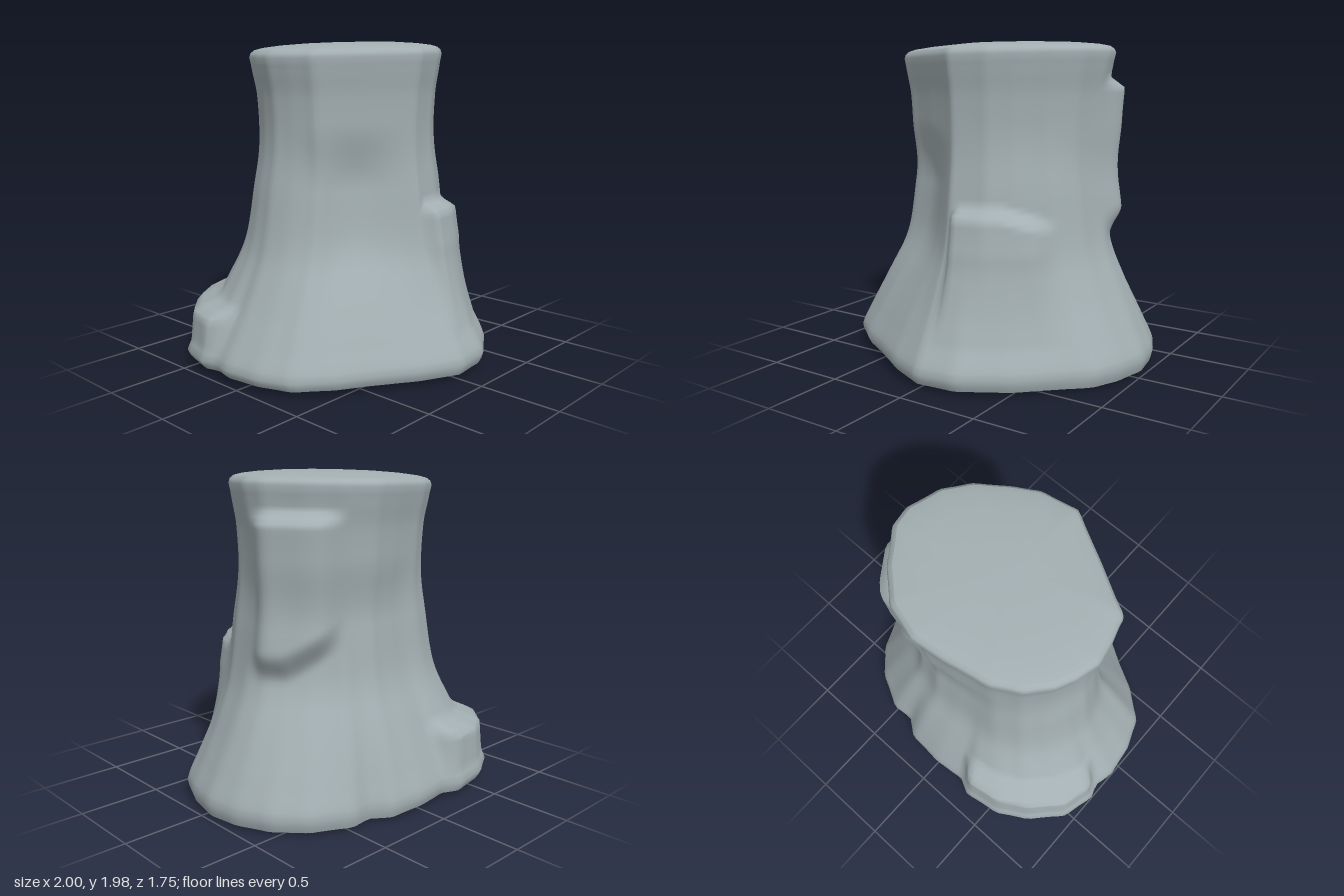
import * as THREE from 'three';

const SIDES = 144;

// [x, z] outlines seen from above, running from the front round by +x
const BASE = [[0, 0.87], [0.25, 0.84], [0.52, 0.67], [0.88, 0.32], [0.95, 0.16], [1, -0.07], [0.97, -0.27],
  [0.88, -0.48], [0.73, -0.64], [0.5, -0.76], [0.36, -0.75], [0.25, -0.83], [0, -0.85], [-0.22, -0.83],
  [-0.32, -0.88], [-0.57, -0.84], [-0.76, -0.73], [-0.94, -0.54], [-1, -0.32], [-0.97, -0.23], [-1, -0.1],
  [-0.97, 0.13], [-0.89, 0.33], [-0.7, 0.49], [-0.52, 0.59], [-0.25, 0.76]];
const CROWN = [[0, 0.53], [0.23, 0.48], [0.37, 0.395], [0.55, 0.26], [0.66, 0.11], [0.72, -0.1], [0.7, -0.22],
  [0.55, -0.42], [0.38, -0.57], [0.17, -0.63], [0, -0.61], [-0.3, -0.55], [-0.46, -0.46], [-0.57, -0.33],
  [-0.62, -0.22], [-0.655, -0.08], [-0.63, 0.05], [-0.58, 0.21], [-0.3, 0.37]];

// height -> value tables
const FLARE = [[0, 0.88], [0.04, 0.95], [0.09, 1], [0.25, 0.77], [0.4, 0.54], [0.55, 0.34], [0.7, 0.17],
  [0.85, 0.08], [1.05, 0.03], [1.3, 0], [2, 0]];
const WAIST = [[0, 1], [0.8, 0.98], [1.05, 0.96], [1.35, 0.92], [1.65, 0.935], [1.8, 0.975], [1.9, 1]];
// angle -> how much narrower the trunk is at mid height
const THIN = [[0, 0], [50, -0.03], [90, 0.02], [130, 0.08], [180, 0.08], [225, 0], [270, 0], [312, 0.15], [360, 0]];

// Smooth curve through a table of [t, value]
function lookup(table, t) {
  const last = table.length - 1;
  const slope = i => {
    const [a, va] = table[Math.max(i - 1, 0)], [b, vb] = table[Math.min(i + 1, last)];
    return (vb - va) / (b - a);
  };
  let i = 0;
  while (i < last - 1 && t > table[i + 1][0]) i++;
  const [a, va] = table[i], [b, vb] = table[i + 1];
  const h = b - a, u = THREE.MathUtils.clamp((t - a) / h, 0, 1), w = 1 - u;
  return w * w * ((1 + 2 * u) * va + u * h * slope(i)) + u * u * ((1 + 2 * w) * vb - w * h * slope(i + 1));
}

// The straight-edged outline becomes a periodic table of angle (degrees) -> radius
function polar(points) {
  const table = [], CUTS = 3;
  points.forEach(([x0, z0], i) => {
    const [x1, z1] = points[(i + 1) % points.length];
    for (let k = 0; k < CUTS; k++) {
      const x = x0 + (x1 - x0) * k / CUTS, z = z0 + (z1 - z0) * k / CUTS;
      table.push([(Math.atan2(x, z) * 180 / Math.PI + 360) % 360, Math.hypot(x, z)]);
    }
  });
  table.push([360, table[0][1]]);
  return table;
}
const baseTable = polar(BASE), crownTable = polar(CROWN);

const { smoothstep: step, mapLinear, clamp, lerp } = THREE.MathUtils;
const between = (t, a, b, soft) => step(t, a, a + soft) * (1 - step(t, b - soft, b));

function radius(deg, y) {
  const thin = lookup(THIN, deg) * step(y, 0.3, 0.85) * (1 - step(y, 1.1, 1.5));
  const base = lookup(baseTable, deg), crown = lookup(crownTable, deg) * (lookup(WAIST, y) - thin);
  let r = lerp(crown, base, lookup(FLARE, y));
  // Broken root at the back corner, higher towards the back
  const rootTop = mapLinear(deg, 200, 259, 0.46, 0.4);
  const root = between(deg, 194, 259, 8) * (1 - step(y, rootTop - 0.09, rootTop)) * step(y, 0.05, 0.1);
  r = Math.max(r, lerp(r, base * (0.99 - 0.09 * y), root));
  // Raised slab of bark at the front, sharp on one side and fading on the other
  const slabTop = clamp(mapLinear(deg, 35, 60, 1.02, 0.95), 0.94, 1.02);
  const slab = step(deg, 2, 7) * (1 - step(deg, 48, 68)) * (1 - step(y, slabTop - 0.07, slabTop));
  r += 0.09 * slab * clamp((y - 0.25) / 0.5, 0, 1);
  // Raised bark patch on the back left, its foot slanting up towards the back
  const foot = clamp(mapLinear(deg, 118, 145, 0.78, 0.97), 0.78, 0.97);
  const patch = between(deg, 96, 149, 17) * step(y, foot, foot + 0.2) * (1 - step(y, 1.68, 1.76));
  return r + 0.115 * patch;
}

// Skin a list of rings: { y, scale, at } where at is the height the outline is read from
function loft(rings) {
  const positions = [], index = [];
  rings.forEach(({ y, scale = 1, at = y }) => {
    for (let j = 0; j < SIDES; j++) {
      const deg = j * 360 / SIDES, a = deg * Math.PI / 180;
      const r = radius(deg, at) * scale;
      const x = r * Math.sin(a), z = r * Math.cos(a);
      const tilt = 0.025 * x * step(y, 1.5, 1.9) - 0.015 * x * (1 - step(y, 0, 0.1)) * step(scale, 0.2, 1);
      positions.push(x, y + tilt, z);
    }
  });
  for (let i = 0; i < rings.length - 1; i++) {
    for (let j = 0; j < SIDES; j++) {
      const k = (j + 1) % SIDES;
      const a = i * SIDES + j, b = i * SIDES + k, c = a + SIDES, d = b + SIDES;
      index.push(a, b, d, a, d, c);
    }
  }
  const geometry = new THREE.BufferGeometry();
  geometry.setAttribute('position', new THREE.Float32BufferAttribute(positions, 3));
  geometry.setIndex(index);
  geometry.computeVertexNormals();
  return geometry;
}

export function createModel() {
  const group = new THREE.Group();
  group.name = 'treeStump';
  const wood = new THREE.MeshStandardMaterial({ color: 0xa3afb2 });
  wood.name = 'grey wood';
  const add = (name, rings) => {
    const mesh = new THREE.Mesh(loft(rings), wood);
    mesh.name = name;
    group.add(mesh);
  };

  // Trunk with its flared foot and softened rim
  const sides = [{ y: 0.025 }, { y: 0.05 }, { y: 0.09 }];
  for (let y = 0.13; y < 1.87; y += 0.03) sides.push({ y });
  sides.push({ y: 1.885, at: 1.9 }, { y: 1.91, scale: 0.985, at: 1.9 }, { y: 1.927, scale: 0.95, at: 1.9 });
  add('trunk', sides);

  // Slightly domed cut face
  add('cutTop', [[1.927, 0.95], [1.94, 0.87], [1.953, 0.7], [1.963, 0.45], [1.967, 0.2], [1.967, 0.001]]
    .map(([y, scale]) => ({ y, scale, at: 1.9 })));

  // Flat underside
  add('underside', [[0.005, 0.001], [0.003, 0.5], [0.008, 0.9], [0.025, 1]]
    .map(([y, scale]) => ({ y, scale, at: 0.025 })));

  return group;
}
